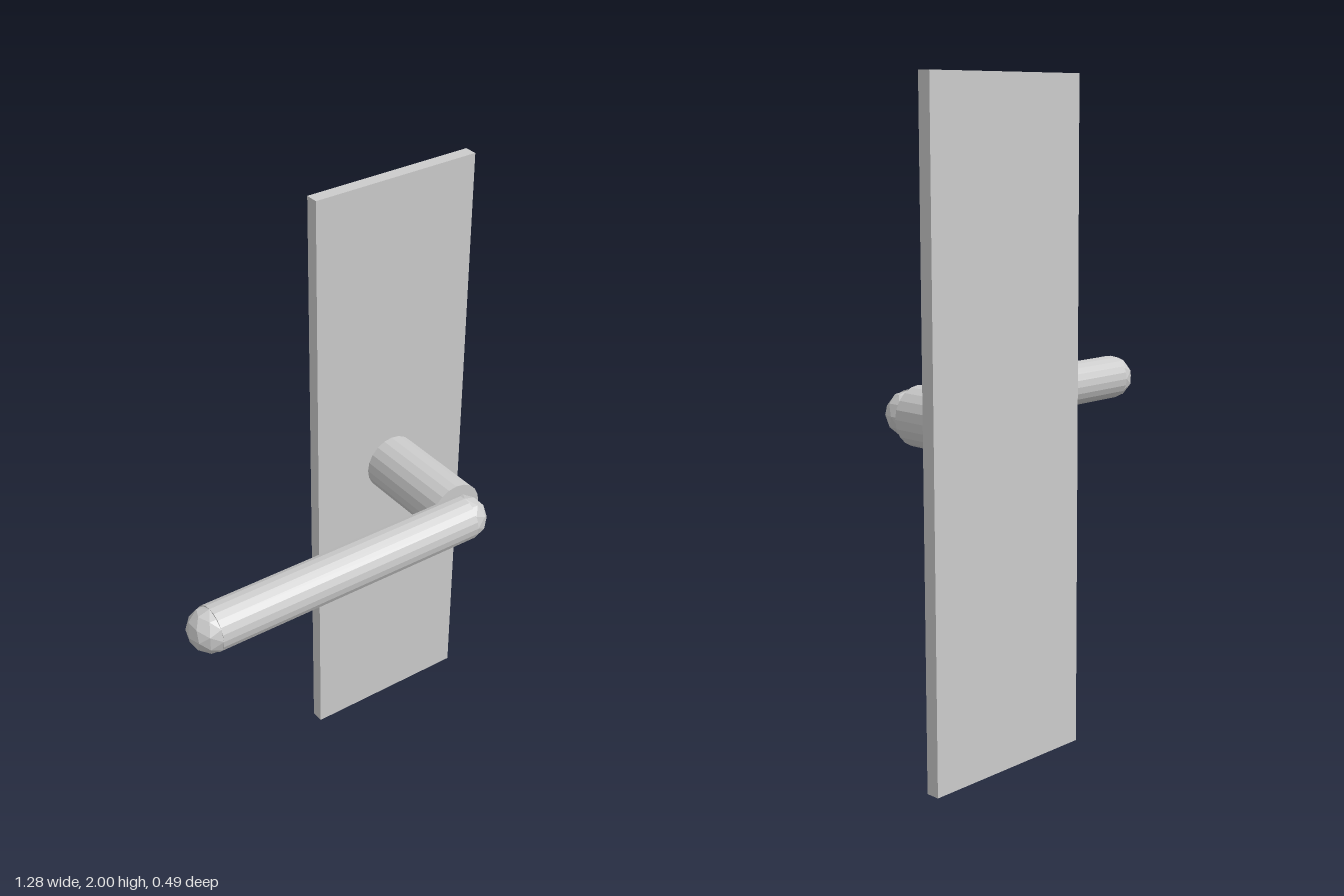
import * as THREE from 'three';

export function createModel() {
  const group = new THREE.Group();
  const material = new THREE.MeshStandardMaterial({ color: 0xcccccc, flatShading: true });
  const add = (name, geometry, x, y, z) => {
    const mesh = new THREE.Mesh(geometry, material);
    mesh.name = name;
    mesh.position.set(x, y, z);
    group.add(mesh);
    return mesh;
  };

  const midY = 1.003, pivotX = 0.352, tipX = -0.57;
  const leverZ = 0.173, leverR = 0.072;
  const plateFront = -0.205, neckFront = 0.13;

  // Tall back plate
  add('backPlate', new THREE.BoxGeometry(0.576, 2, 0.043), pivotX, 1, -0.2265);

  // Round neck standing out from the plate
  const neck = new THREE.CylinderGeometry(0.093, 0.093, neckFront - plateFront, 20);
  neck.rotateX(Math.PI / 2);
  add('neck', neck, pivotX, midY, (plateFront + neckFront) / 2);

  // Horizontal lever bar
  const bar = new THREE.CylinderGeometry(leverR, leverR, pivotX - tipX, 20);
  bar.rotateZ(Math.PI / 2);
  add('leverBar', bar, (pivotX + tipX) / 2, midY, leverZ);

  // Faceted ball at each end of the lever
  for (const [name, x] of [['leverPivotBall', pivotX], ['leverTipBall', tipX]]) {
    add(name, new THREE.IcosahedronGeometry(leverR, 1), x, midY, leverZ);
  }
  return group;
}
